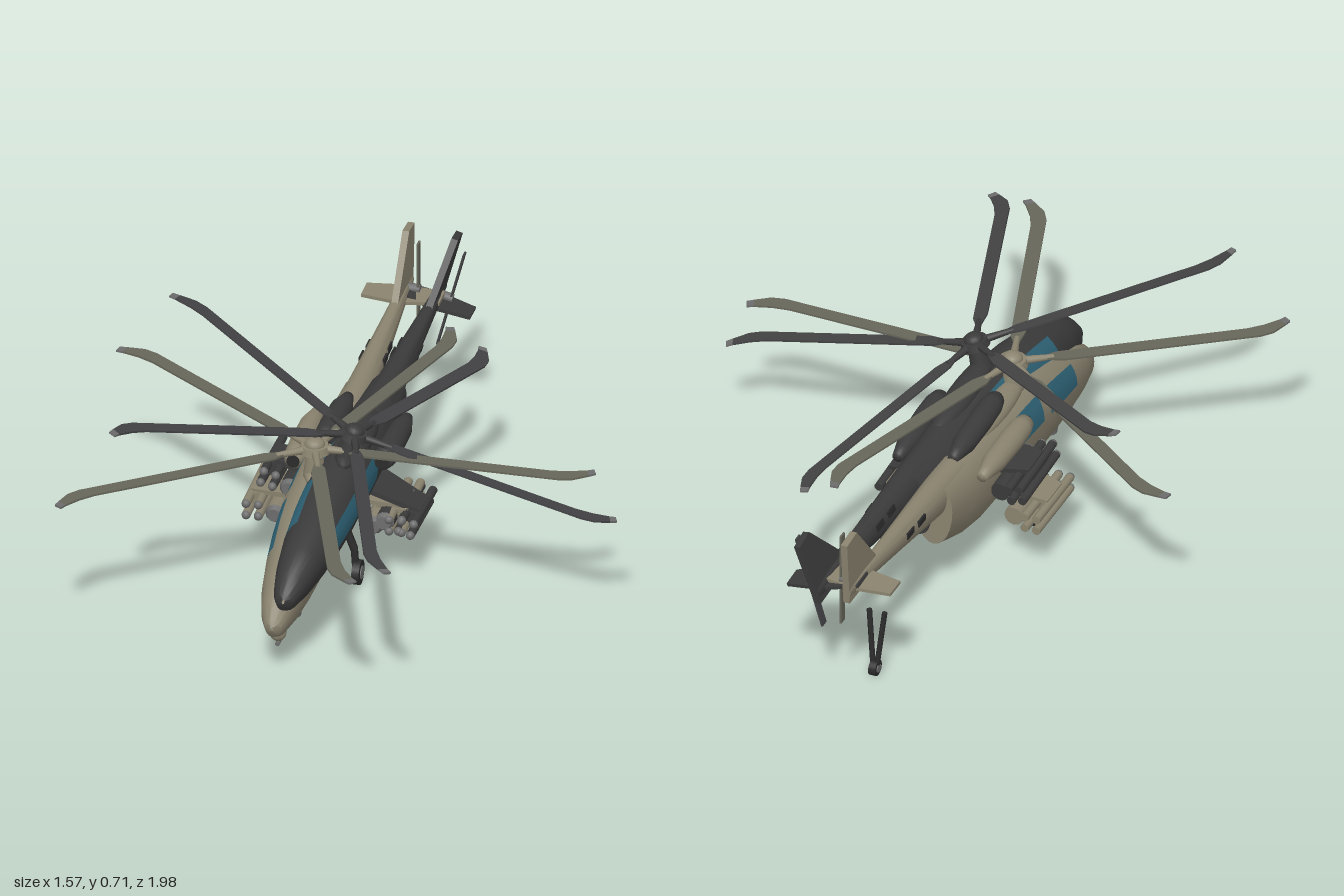
import * as THREE from 'three';
import { toCreasedNormals } from 'three/addons/utils/BufferGeometryUtils.js';

const mat = (name, color, side = THREE.FrontSide) => {
  const m = new THREE.MeshStandardMaterial({ color, side });
  m.name = name;
  return m;
};

// Lofts egg-shaped sections [z, bottom, top, halfWidth]; faces picked by isGlass go to a second geometry.
function loft(sections, isGlass = () => false, n = 24) {
  const pos = [], solid = [], glass = [];
  for (const [z, b, t, w] of sections) {
    const mid = b + (t - b) * 0.58;
    for (let j = 0; j < n; j++) {
      const a = (j / n) * Math.PI * 2, s = Math.sin(a), c = Math.cos(a);
      pos.push(c * w, mid + s * (s > 0 ? t - mid : mid - b), z);
    }
  }
  for (let i = 0; i < sections.length - 1; i++) {
    for (let j = 0; j < n; j++) {
      const k = (j + 1) % n, a = i * n + j, b = i * n + k, c = a + n, d = b + n;
      (isGlass(i, j) ? glass : solid).push(a, c, b, b, c, d);
    }
  }
  return [solid, glass].map((index) => {
    const g = new THREE.BufferGeometry();
    g.setAttribute('position', new THREE.Float32BufferAttribute(pos, 3));
    g.setIndex(index);
    return index.length ? toCreasedNormals(g, 0.7) : null;
  });
}

function add(parent, name, geometry, material, x = 0, y = 0, z = 0) {
  const m = new THREE.Mesh(geometry, material);
  m.name = name;
  m.position.set(x, y, z);
  parent.add(m);
  return m;
}

// Round bar between two points
function bar(parent, name, a, b, r, material, r2 = r) {
  const p = new THREE.Vector3(...a), q = new THREE.Vector3(...b);
  const m = add(parent, name, new THREE.CylinderGeometry(r2, r, p.distanceTo(q), 12), material);
  m.position.copy(p).add(q).multiplyScalar(0.5);
  m.quaternion.setFromUnitVectors(new THREE.Vector3(0, 1, 0), q.sub(p).normalize());
  return m;
}

// Extruded outline, centred on its thickness
function plate(points, depth) {
  const g = new THREE.ExtrudeGeometry(new THREE.Shape(points.map((p) => new THREE.Vector2(...p))),
    { depth, bevelEnabled: false });
  return g.translate(0, 0, -depth / 2);
}

const HUB_Y = 0.475, HUB_Z = 0.22;

function mainRotor(bladeMat, hubMat, tipMat) {
  const rotor = new THREE.Group();
  rotor.name = 'mainRotor';
  add(rotor, 'hubDisc', new THREE.CylinderGeometry(0.04, 0.045, 0.022, 20), hubMat);
  add(rotor, 'hubCap', new THREE.SphereGeometry(0.03, 16, 10).scale(1, 0.7, 1), hubMat, 0, 0.012, 0);
  const outline = [[0.1, -0.01], [0.15, -0.022], [0.72, -0.022], [0.76, -0.012], [0.8, 0.018],
    [0.79, 0.045], [0.74, 0.028], [0.69, 0.02], [0.13, 0.02], [0.1, 0.01]];
  const blade = plate(outline, 0.006).rotateX(-Math.PI / 2);
  const tip = plate([[0.8, 0.018], [0.818, 0.033], [0.808, 0.055], [0.79, 0.045]], 0.006).rotateX(-Math.PI / 2);
  for (let i = 0; i < 5; i++) {
    const arm = new THREE.Group();
    arm.name = 'bladeArm';
    arm.rotation.y = (i * Math.PI * 2) / 5;
    bar(arm, 'bladeGrip', [0.02, 0, 0], [0.12, 0, 0], 0.013, hubMat, 0.008);
    add(arm, 'blade', blade, bladeMat);
    add(arm, 'bladeTip', tip, tipMat);
    rotor.add(arm);
  }
  rotor.position.set(0, HUB_Y, HUB_Z);
  return rotor;
}

function helicopter(name, body, blade, m) {
  const h = new THREE.Group();
  h.name = name;

  // Fuselage with side windows
  const sections = [[0.748, 0.158, 0.172, 0.004], [0.735, 0.132, 0.19, 0.024], [0.7, 0.115, 0.238, 0.042],
    [0.62, 0.105, 0.287, 0.06], [0.51, 0.103, 0.327, 0.074], [0.4, 0.106, 0.36, 0.083], [0.3, 0.11, 0.383, 0.087],
    [0.25, 0.113, 0.392, 0.087], [0.16, 0.117, 0.4, 0.086], [0.07, 0.12, 0.405, 0.084], [-0.1, 0.126, 0.405, 0.08],
    [-0.22, 0.15, 0.405, 0.073], [-0.34, 0.195, 0.41, 0.06], [-0.341, 0.3, 0.34, 0.002]];
  const windowRows = [4, 5, 7, 8];
  const [hull, panes] = loft(sections, (i, j) => windowRows.includes(i) && (j < 3 || (j > 8 && j < 12)));
  add(h, 'fuselage', hull, body);
  add(h, 'windows', panes, m.glass);

  // Tail boom, fin and stabilisers
  const boom = [[-0.2, 0.27, 0.41, 0.05], [-0.34, 0.29, 0.415, 0.043], [-0.6, 0.335, 0.42, 0.03],
    [-0.85, 0.375, 0.43, 0.018], [-0.95, 0.385, 0.425, 0.012], [-0.951, 0.4, 0.41, 0.001]];
  add(h, 'tailBoom', loft(boom)[0], body);
  const fin = plate([[-0.76, 0.42], [-0.9, 0.587], [-0.968, 0.58], [-0.95, 0.372], [-0.84, 0.372]], 0.02);
  add(h, 'tailFin', fin.rotateY(-Math.PI / 2), body);
  const stab = plate([[-0.115, 0.83], [0, 0.81], [0.115, 0.83], [0.115, 0.9], [0, 0.915], [-0.115, 0.9]], 0.01);
  add(h, 'stabiliser', stab.rotateX(-Math.PI / 2), body, 0, 0.4, 0);

  // Tail rotor
  bar(h, 'tailRotorShaft', [0, 0.41, -0.89], [0.045, 0.41, -0.89], 0.014, m.grey);
  for (const s of [-1, 1]) {
    add(h, 'tailRotorBlade', new THREE.BoxGeometry(0.006, 0.14, 0.026), blade, 0.04, 0.41 + s * 0.08, -0.89);
    for (const z of [-0.5, -0.57]) {
      add(h, 'boomVent', new THREE.BoxGeometry(0.006, 0.02, 0.045), m.black, s * (z < -0.53 ? 0.031 : 0.035), 0.385, z);
    }
  }

  // Roof fairing and mast
  add(h, 'roofFairing', new THREE.SphereGeometry(1, 20, 12).scale(0.045, 0.035, 0.2), body, 0, 0.39, 0.08);
  bar(h, 'mast', [0, 0.37, HUB_Z], [0, HUB_Y, HUB_Z], 0.036, body, 0.022);
  const rotor = mainRotor(blade, body, m.grey);
  h.add(rotor);

  for (const s of [-1, 1]) {
    // Engine nacelles
    const profile = [[0.001, -0.2], [0.016, -0.2], [0.022, -0.17], [0.033, -0.12], [0.036, 0], [0.034, 0.07],
      [0.026, 0.105], [0.001, 0.115]].map((p) => new THREE.Vector2(...p));
    add(h, 'engine', new THREE.LatheGeometry(profile, 18).rotateX(Math.PI / 2), body, s * 0.09, 0.362, 0);
    add(h, 'engineIntake', new THREE.CylinderGeometry(0.019, 0.019, 0.006, 16).rotateX(Math.PI / 2), m.black,
      s * 0.09, 0.362, 0.112);

    // Stub wing with pod and missile cluster
    const wing = plate([[0.05, 0.1], [0.23, 0.05], [0.23, -0.05], [0.05, -0.07]], 0.014);
    wing.rotateX(-Math.PI / 2).rotateZ(-0.12);
    if (s < 0) wing.rotateY(Math.PI).translate(0, 0, 0);
    add(h, 'stubWing', wing, body, 0, 0.245, 0);
    add(h, 'podPylon', new THREE.BoxGeometry(0.012, 0.04, 0.08), body, s * 0.145, 0.212, 0.01);
    bar(h, 'rocketPod', [s * 0.145, 0.18, -0.1], [s * 0.145, 0.18, 0.1], 0.029, body);
    bar(h, 'podFront', [s * 0.145, 0.18, 0.1], [s * 0.145, 0.18, 0.115], 0.029, m.grey, 0.02);
    add(h, 'missileRack', new THREE.BoxGeometry(0.035, 0.04, 0.1), body, s * 0.21, 0.197, 0.01);
    for (const dx of [-0.018, 0.018]) {
      for (const y of [0.17, 0.207]) {
        bar(h, 'missile', [s * 0.21 + dx, y, -0.13], [s * 0.21 + dx, y, 0.11], 0.013, body);
        add(h, 'missileNose', new THREE.SphereGeometry(0.013, 12, 8), m.grey, s * 0.21 + dx, y, 0.11);
      }
    }
  }
  return { h, rotor };
}

function wheel(parent, name, x, y, z, r, w, m) {
  add(parent, name, new THREE.CylinderGeometry(r, r, w, 20).rotateZ(Math.PI / 2), m.black, x, y, z);
  add(parent, name + 'Hub', new THREE.CylinderGeometry(r * 0.55, r * 0.55, w + 0.006, 16).rotateZ(Math.PI / 2), m.grey, x, y, z);
}

export function createModel() {
  const root = new THREE.Group();
  root.name = 'helicopterPair';
  const m = {
    tan: mat('tanPaint', 0x8a836f),
    olive: mat('oliveBlade', 0x66665a),
    dark: mat('charcoalPaint', 0x3b3b3b),
    darkBlade: mat('charcoalBlade', 0x424244),
    glass: mat('tealGlass', 0x2f6478, THREE.DoubleSide),
    grey: mat('greyMetal', 0x6c6c6c),
    black: mat('blackRubber', 0x2b2b2b),
  };

  // Level tan helicopter
  const { h: level } = helicopter('tanHelicopter', m.tan, m.olive, m);
  level.position.x = -0.095;
  root.add(level);

  // Main and tail landing gear
  for (const s of [-1, 1]) {
    wheel(level, 'mainWheel', s * 0.105, 0.037, 0.13, 0.037, 0.022, m);
    bar(level, 'mainLeg', [s * 0.1, 0.04, 0.13], [s * 0.095, 0.11, 0.13], 0.011, m.black);
    bar(level, 'mainLegUpper', [s * 0.095, 0.11, 0.13], [s * 0.065, 0.19, 0.13], 0.012, m.black);
    bar(level, 'tailLeg', [s * 0.006, 0.03, -0.75], [s * 0.024, 0.21, -0.735], 0.008, m.black);
  }
  wheel(level, 'tailWheel', 0, 0.024, -0.75, 0.024, 0.022, m);

  // Chin turret and gun
  add(level, 'gunTurret', new THREE.CylinderGeometry(0.028, 0.022, 0.045, 16), m.grey, 0, 0.093, 0.48);
  bar(level, 'gunBarrel', [0, 0.08, 0.45], [0, 0.08, 0.68], 0.007, m.grey);
  add(level, 'noseSensor', new THREE.SphereGeometry(0.024, 16, 12), m.tan, 0, 0.112, 0.67);

  // Dark helicopter, banked about its rotor hub
  const { h: banked, rotor } = helicopter('darkHelicopter', m.dark, m.darkBlade, m);
  rotor.scale.setScalar(0.97);
  banked.position.set(0, -HUB_Y, -HUB_Z);
  const bank = new THREE.Group();
  bank.name = 'bankedPivot';
  bank.add(banked);
  bank.position.set(0.015, 0.523, 0.2);
  bank.rotation.set(-0.06, 0, -0.252);
  root.add(bank);
  return root;
}
